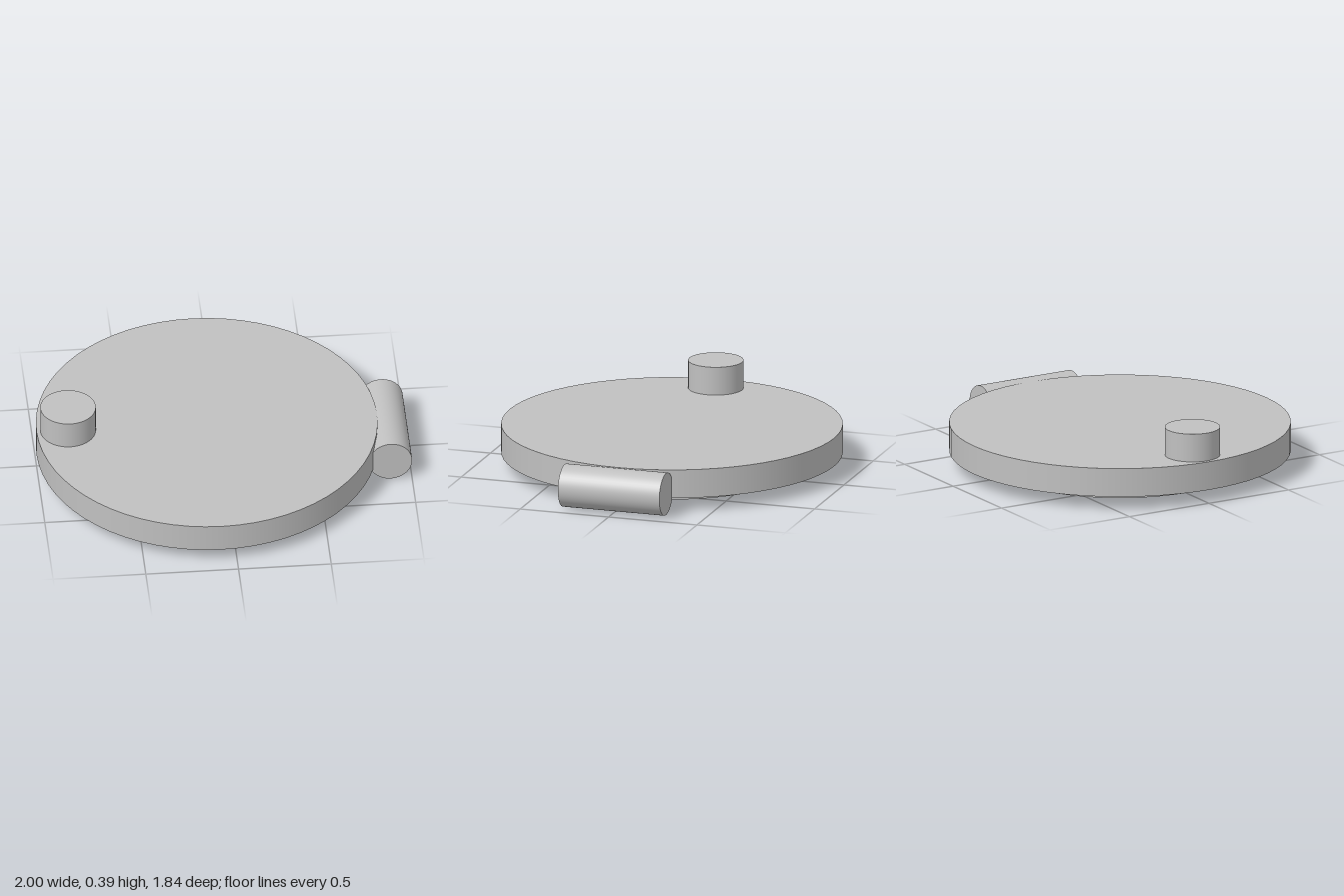
import * as THREE from 'three';

export function createModel() {
  const group = new THREE.Group();
  const grey = new THREE.MeshStandardMaterial({ color: 0xc0c0c0 });
  grey.name = 'light grey';

  // Upright cylinder spanning y0 to y1, centred on x
  function disc(name, radius, y0, y1, x, segments) {
    const mesh = new THREE.Mesh(new THREE.CylinderGeometry(radius, radius, y1 - y0, segments), grey);
    mesh.name = name;
    mesh.position.set(x, (y0 + y1) / 2, 0);
    group.add(mesh);
    return mesh;
  }

  disc('lowerRim', 0.682, 0, 0.075, -0.082, 64);
  disc('lidPlate', 0.918, 0.075, 0.232, -0.082, 64);
  disc('thumbKnob', 0.149, 0.232, 0.387, -0.83, 48);

  // Hinge barrel lying along z at the edge of the plate
  const hinge = disc('hingeBarrel', 0.116, -0.165, 0.409, 0.884, 48);
  hinge.rotation.x = Math.PI / 2;

  return group;
}
